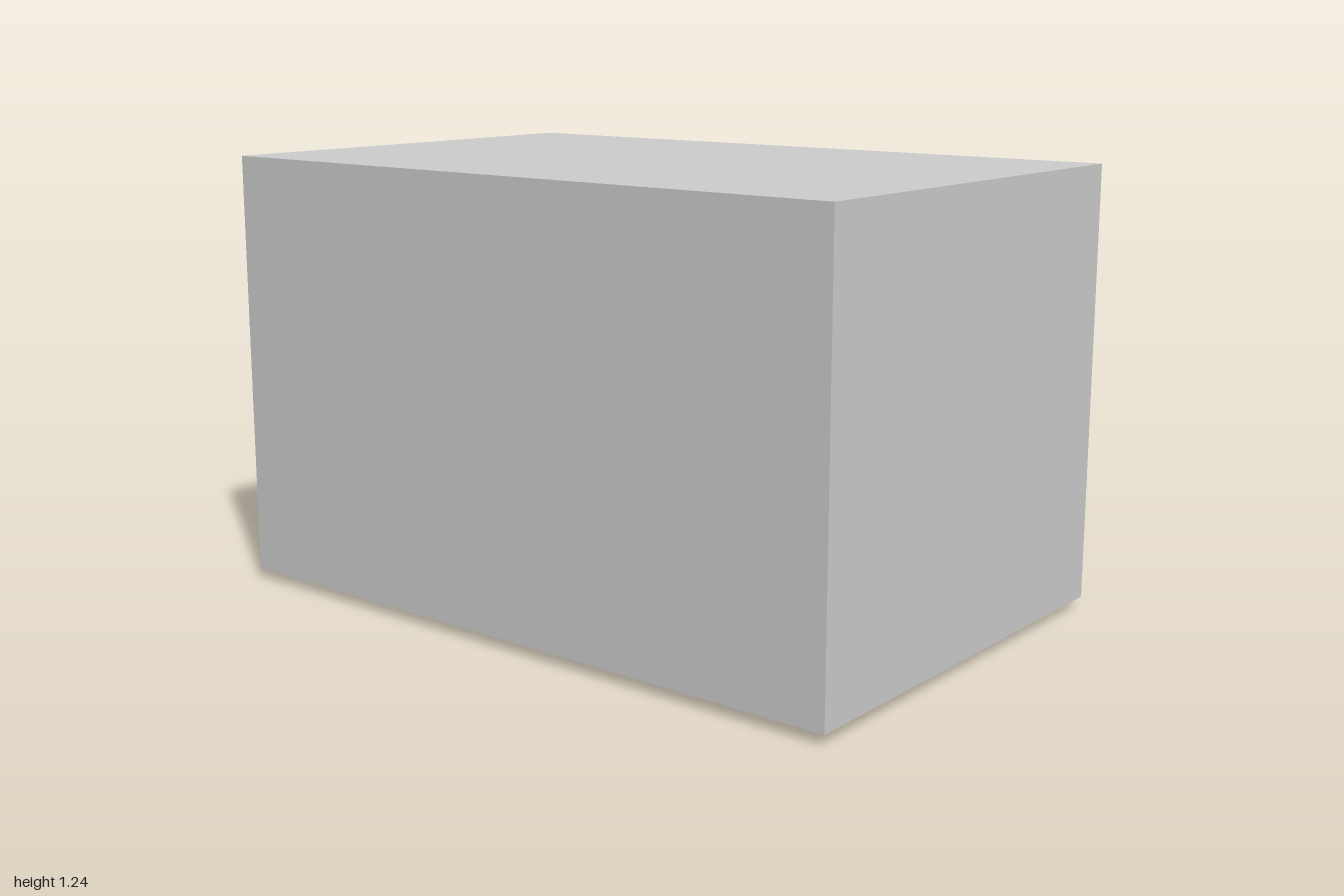
import * as THREE from 'three';

const grey = new THREE.MeshStandardMaterial({ color: 0xcccccc });

// Box given by its min and max corners
function block(name, parent, [x0, y0, z0], [x1, y1, z1]) {
  const mesh = new THREE.Mesh(new THREE.BoxGeometry(x1 - x0, y1 - y0, z1 - z0), grey);
  mesh.name = name;
  mesh.position.set((x0 + x1) / 2, (y0 + y1) / 2, (z0 + z1) / 2);
  parent.add(mesh);
  return mesh;
}

// Flat rectangular ring lying in the xz plane, from y = 0 up to the given height
function ring(name, parent, w, d, border, height, x, z) {
  const rect = (Path, a, b) => new Path([
    new THREE.Vector2(-a, -b), new THREE.Vector2(a, -b),
    new THREE.Vector2(a, b), new THREE.Vector2(-a, b),
  ]);
  const shape = rect(THREE.Shape, w / 2, d / 2);
  shape.holes.push(rect(THREE.Path, w / 2 - border, d / 2 - border));
  const geo = new THREE.ExtrudeGeometry(shape, { depth: height, bevelEnabled: false });
  geo.rotateX(-Math.PI / 2);
  const mesh = new THREE.Mesh(geo, grey);
  mesh.name = name;
  mesh.position.set(x, 0, z);
  parent.add(mesh);
  return mesh;
}

export function createModel() {
  const model = new THREE.Group();
  model.name = 'extractorHood';

  // Main housing
  block('housing', model, [-0.64, 0.03, -1], [0.64, 1.24, 1]);

  // Grease filter on the underside: border, backing sheet and fine wires
  const filter = new THREE.Group();
  filter.name = 'filter';
  model.add(filter);
  const w = 0.87, d = 1.59, border = 0.06, zc = 0.045;
  ring('filterFrame', filter, w, d, border, 0.03, 0, zc);
  const hx = w / 2 - border, hz = d / 2 - border;
  block('filterBacking', filter, [-hx, 0.005, zc - hz], [hx, 0.029, zc + hz]);
  const pitch = 0.02, wire = 0.0025;
  for (let z = zc - hz + pitch; z < zc + hz - wire; z += pitch)
    block('crossWire', filter, [-hx, 0.002, z - wire], [hx, 0.006, z + wire]);
  for (let x = -hx + pitch; x < hx - wire; x += pitch)
    block('longWire', filter, [x - wire, 0.003, zc - hz], [x + wire, 0.006, zc + hz]);

  // Control panel beside the filter, with two round buttons
  const controls = new THREE.Group();
  controls.name = 'controls';
  model.add(controls);
  block('controlPlate', controls, [0.463, 0.013, -0.22], [0.547, 0.031, 0.01]);
  for (const z of [-0.06, -0.145]) {
    const button = new THREE.Mesh(new THREE.CylinderGeometry(0.013, 0.013, 0.008, 24), grey);
    button.name = 'button';
    button.position.set(0.505, 0.011, z);
    controls.add(button);
  }
  return model;
}
